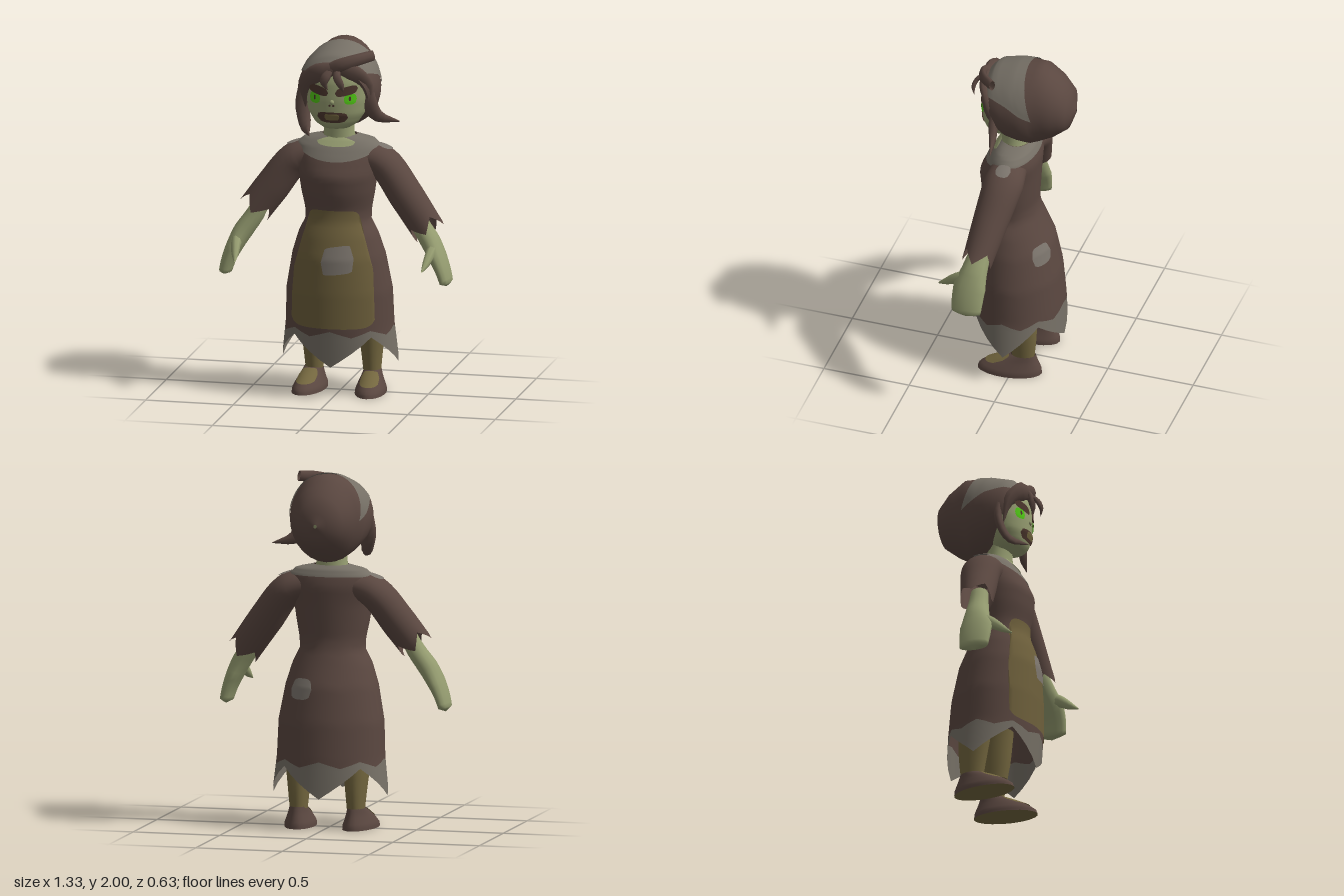
import * as THREE from 'three';

const mat = (name, color) => new THREE.MeshStandardMaterial({ name, color, side: THREE.DoubleSide });
const M = {
  cloth: mat('brownCloth', 0x5a4740), trim: mat('greyTrim', 0x767066), apron: mat('oliveApron', 0x6d5f3b),
  patch: mat('greyPatch', 0x7b746c), skin: mat('greenSkin', 0x959c70), sock: mat('oliveSock', 0x74673f),
  eye: mat('brightGreen', 0x52c816), mouth: mat('darkBrown', 0x4c362d),
};
const TAU = Math.PI * 2, lerp = THREE.MathUtils.lerp;

// Interpolates rows of numbers; t runs 0..1 over the rows
function rowAt(rows, t) {
  const f = THREE.MathUtils.clamp(t, 0, 1) * (rows.length - 1), i = Math.min(Math.floor(f), rows.length - 2);
  return rows[i].map((v, k) => lerp(v, rows[i + 1][k], f - i));
}

// Skins a grid of points fn(u, v); closed joins the last column to the first, s = -1 mirrors in x
function skin(name, material, fn, nu, nv, closed = true, s = 1) {
  const pos = [], idx = [], cols = closed ? nu : nu + 1;
  for (let j = 0; j <= nv; j++) for (let i = 0; i < cols; i++) {
    const p = fn(i / nu, j / nv);
    pos.push(p.x * s, p.y, p.z);
  }
  for (let j = 0; j < nv; j++) for (let i = 0; i < nu; i++) {
    const a = j * cols + i, b = j * cols + (i + 1) % cols, c = a + cols, d = b + cols;
    if (s > 0) idx.push(a, b, d, a, d, c); else idx.push(a, d, b, a, c, d);
  }
  const g = new THREE.BufferGeometry();
  g.setAttribute('position', new THREE.Float32BufferAttribute(pos, 3));
  g.setIndex(idx);
  g.computeVertexNormals();
  const m = new THREE.Mesh(g, material);
  m.name = name;
  return m;
}

// Upright form from rows [y, halfWidth, frontZ, backZ]; a = 0 is the front
const upright = (rows, cx = 0, splay = 0) => (a, y, off = 0) => {
  let i = 0;
  while (i < rows.length - 2 && y > rows[i + 1][0]) i++;
  const [y0] = rows[i], [y1] = rows[i + 1];
  const [, rx, zf, zb] = rowAt([rows[i], rows[i + 1]], (y - y0) / (y1 - y0));
  const z = (zf + zb) / 2 + ((zf - zb) / 2 + off) * Math.cos(a);
  return new THREE.Vector3(cx + (rx + off) * Math.sin(a) + splay * z, y, z);
};
// Tapered limb along points with radii [r1, r2]
const limb = (pts, radii, ref = [0, 0, 1]) => {
  const curve = new THREE.CatmullRomCurve3(pts.map(p => new THREE.Vector3(...p)));
  const r = new THREE.Vector3(...ref);
  return (a, t, off = 0) => {
    const T = curve.getTangent(Math.min(t, 1)), c = curve.getPoint(Math.min(t, 1));
    if (t > 1) c.addScaledVector(T, (t - 1) * 0.6);
    const e1 = r.clone().cross(T).normalize(), e2 = T.clone().cross(e1), [r1, r2] = rowAt(radii, t);
    return c.addScaledVector(e1, (r1 + off) * Math.cos(a)).addScaledVector(e2, (r2 + off) * Math.sin(a));
  };
};
// Whole form between two limits that may vary with the angle
const wrap = (name, m, S, lo, hi, nu, nv, s = 1, off = 0) => skin(name, m, (u, v) => {
  const a = u * TAU;
  return S(a, lerp(lo(a), hi(a), v), off);
}, nu, nv, true, s);
// Thin rounded plate lying on a form: centre a, y, half sizes w, h, corner power p, slope
const plate = (name, m, S, a, y, w, h, { p = 2, off = 0.005, slope = 0, s = 1, n = 12 } = {}) =>
  skin(name, m, (u, v) => {
    const k = u * 2 - 1, hh = h * Math.pow(Math.max(0, 1 - Math.abs(k) ** p), 1 / p);
    return S(a + w * k, y + slope * k + hh * (v * 2 - 1), off);
  }, n, n, false, s);
const at = v => () => v;
const saw = (a, teeth) => Math.abs(((a / TAU * teeth) % 1) - 0.5) * 2;

export function createModel() {
  const root = new THREE.Group();
  root.name = 'villager';
  const add = (...m) => root.add(...m);

  // Dress with ragged hem, collar, apron and patches
  const dress = upright([
    [0.18, 0.33, 0.262, -0.245], [0.4, 0.305, 0.28, -0.238], [0.6, 0.298, 0.28, -0.22], [0.8, 0.262, 0.27, -0.18],
    [0.92, 0.225, 0.24, -0.13], [1.0, 0.185, 0.212, -0.1], [1.06, 0.188, 0.205, -0.09], [1.16, 0.208, 0.228, -0.095],
    [1.26, 0.222, 0.236, -0.1], [1.36, 0.24, 0.188, -0.105], [1.42, 0.235, 0.15, -0.092], [1.455, 0.195, 0.12, -0.075],
    [1.475, 0.095, 0.1, -0.05]]);
  const hemTop = a => 0.375 + 0.018 * Math.cos(8 * a);
  add(wrap('dress', M.cloth, dress, hemTop, at(1.475), 32, 44),
    wrap('raggedHem', M.trim, dress, a => 0.355 - 0.17 * saw(a, 4), hemTop, 32, 5),
    wrap('collar', M.trim, dress, a => 1.415 - 0.07 * Math.max(0, Math.cos(a)) ** 1.6, at(1.476), 32, 8, 1, 0.004),
    plate('neckline', M.skin, dress, 0, 1.45, 0.55, 0.026, { off: 0.009 }),
    plate('apron', M.apron, dress, 0, 0.74, 0.95, 0.33, { p: 6.5, n: 28 }),
    plate('apronPatch', M.patch, dress, 0.16, 0.8, 0.35, 0.078, { p: 5, off: 0.009, slope: 0.012 }),
    plate('backPatch', M.patch, dress, Math.PI - 0.5, 0.79, 0.28, 0.058, { p: 3 }));

  // Neck and head
  const neck = upright([[1.4, 0.11, 0.12, -0.04], [1.49, 0.085, 0.115, -0.03], [1.6, 0.085, 0.12, -0.03]]);
  const face = upright([[1.52, 0.01, 0.12, 0.09], [1.53, 0.07, 0.18, 0.03], [1.56, 0.12, 0.205, 0], [1.62, 0.16, 0.222, -0.03],
    [1.7, 0.18, 0.225, -0.05], [1.8, 0.183, 0.218, -0.05], [1.87, 0.165, 0.195, -0.05], [1.93, 0.09, 0.11, -0.03]]);
  add(wrap('neck', M.skin, neck, at(1.4), at(1.6), 20, 4),
    wrap('head', M.skin, face, at(1.52), at(1.93), 28, 26),
    plate('mouth', M.mouth, face, 0, 1.607, 0.6, 0.031, { p: 3 }),
    plate('teeth', M.sock, face, 0, 1.61, 0.27, 0.018, { p: 8, off: 0.009 }));
  const nose = new THREE.Mesh(new THREE.SphereGeometry(0.014, 10, 8), M.skin);
  nose.name = 'nose';
  nose.position.set(0, 1.695, 0.222);
  add(nose);
  for (const s of [1, -1]) add(
    plate('eye', M.eye, face, 0.59, 1.715, 0.22, 0.031, { s, p: 2.5 }),
    plate('pupil', M.mouth, face, 0.56, 1.718, 0.04, 0.013, { s, off: 0.009 }),
    plate('eyebrow', M.mouth, face, 0.46, 1.762, 0.36, 0.025, { s, p: 3, off: 0.009, slope: 0.014 }),
    plate('nostril', M.mouth, face, 0.06, 1.678, 0.04, 0.006, { s, off: 0.009 }));

  // Hair: tilted rings [topZ, topY, bottomZ, bottomY, halfWidth] from front to back
  const rings = [[0.205, 1.885, 0.02, 1.54, 0.19], [0.15, 1.945, 0.01, 1.52, 0.222], [0.03, 1.98, -0.02, 1.507, 0.226],
    [-0.04, 1.99, -0.08, 1.497, 0.218], [-0.13, 2.0, -0.12, 1.51, 0.19], [-0.22, 1.935, -0.2, 1.555, 0.165],
    [-0.285, 1.86, -0.28, 1.62, 0.115], [-0.315, 1.74, -0.315, 1.72, 0.01]];
  const hair = (a, t, off = 0) => {
    const [tz, ty, bz, by, rx] = rowAt(rings, t), c = Math.cos(a), cheek = 0.035 * (1 - t) ** 3 * Math.sin(a) ** 2;
    return new THREE.Vector3((rx + off) * Math.sin(a), (ty + by) / 2 + ((ty - by) / 2 + off) * c,
      (tz + bz) / 2 + (tz - bz) / 2 * c + cheek);
  };
  add(wrap('hair', M.cloth, hair, at(0), at(1), 28, 14),
    skin('headband', M.trim, (u, v) => {
      const k = u * 2 - 1;
      return hair(k * lerp(0.65, 1.62, v ** 0.75), v * (0.43 + 0.12 * k * k), 0.006);
    }, 24, 12, false));

  // Loose locks of hair: path, widest radius, tip share
  const lock = (name, pts, r, tip = 0.05) => {
    const radii = [[r * 0.6, r * 0.4], [r, r * 0.55], [r * 0.85, r * 0.5], [r * tip, r * tip * 0.6]];
    add(wrap(name, M.cloth, limb(pts, radii), at(0), at(1), 8, 10));
  };
  lock('fringeSweepRight', [[0.03, 1.89, 0.205], [-0.085, 1.855, 0.205], [-0.16, 1.775, 0.155], [-0.172, 1.64, 0.13]], 0.055);
  lock('fringeSweepLeft', [[0.02, 1.89, 0.2], [0.11, 1.865, 0.19], [0.175, 1.79, 0.14], [0.19, 1.67, 0.12]], 0.05);
  lock('fringeHook', [[0.03, 1.88, 0.205], [0.035, 1.85, 0.25], [0.06, 1.81, 0.268], [0.075, 1.765, 0.26]], 0.025);
  lock('fringeStrand', [[0, 1.89, 0.205], [-0.03, 1.845, 0.24], [-0.04, 1.81, 0.245], [-0.02, 1.77, 0.24]], 0.027);
  lock('topTuft', [[-0.08, 1.855, 0.19], [0.04, 1.905, 0.215], [0.13, 1.935, 0.185], [0.21, 1.95, 0.11]], 0.04, 0.75);
  lock('sideLockRight', [[-0.185, 1.79, 0.11], [-0.195, 1.65, 0.11], [-0.165, 1.54, 0.16], [-0.12, 1.505, 0.26]], 0.042);
  lock('sideLockLeft', [[0.18, 1.79, 0.11], [0.19, 1.68, 0.11], [0.23, 1.605, 0.1], [0.355, 1.572, 0.075]], 0.045);

  // Arms, legs and shoes
  const sleeve = limb([[0.14, 1.36, 0.03], [0.25, 1.32, 0.03], [0.385, 1.15, 0.06], [0.51, 0.98, 0.09]],
    [[0.08, 0.1], [0.092, 0.115], [0.098, 0.1], [0.094, 0.085]]);
  const arm = limb([[0.42, 1.1, 0.08], [0.47, 1.0, 0.09], [0.535, 0.905, 0.105], [0.578, 0.825, 0.118], [0.61, 0.75, 0.122],
    [0.63, 0.68, 0.122], [0.634, 0.655, 0.122]],
    [[0.045, 0.05], [0.052, 0.06], [0.055, 0.074], [0.048, 0.093], [0.04, 0.091], [0.034, 0.084], [0, 0]]);
  const thumb = limb([[0.56, 0.87, 0.14], [0.555, 0.845, 0.2], [0.545, 0.805, 0.26], [0.535, 0.775, 0.312]],
    [[0.035, 0.045], [0.028, 0.034], [0.02, 0.022], [0.005, 0.005]], [0, 1, 0]);
  const leg = limb([[0.16, 0.52, -0.03], [0.165, 0.35, -0.045], [0.165, 0.22, -0.055], [0.165, 0.07, -0.06]],
    [[0.08, 0.095], [0.074, 0.092], [0.06, 0.08], [0.045, 0.06]]);
  const shoe = upright([[0, 0.088, 0.2, -0.165], [0.025, 0.086, 0.19, -0.163], [0.055, 0.073, 0.15, -0.152],
    [0.085, 0.06, 0.09, -0.14], [0.12, 0.048, 0.01, -0.128]], 0.173, 0.08);
  for (const s of [1, -1]) {
    const reach = s > 0 ? 1.0 : 0.86;
    add(wrap('sleeve', M.cloth, sleeve, at(0), a => reach + 0.12 * (saw(a, 4) - 0.4), 24, 16, s),
      plate('shoulderPatch', M.patch, sleeve, 0, 0.25, 0.38, 0.075, { s, off: 0.006, p: 2.5 }),
      wrap('armAndHand', M.skin, arm, at(0), at(1), 14, 18, s),
      wrap('thumb', M.skin, thumb, at(0), at(1), 8, 6, s),
      wrap('leg', M.sock, leg, at(0), at(1), 16, 8, s),
      wrap('shoe', M.cloth, shoe, at(0), at(0.12), 20, 10, s),
      plate('instep', M.sock, shoe, 0, 0.086, 0.95, 0.032, { s, p: 3 }),
      skin('sole', M.sock, (u, v) => new THREE.Vector3(0.175, 0, 0.02).lerp(shoe(u * TAU, 0), v), 20, 1, true, s));
  }
  return root;
}
